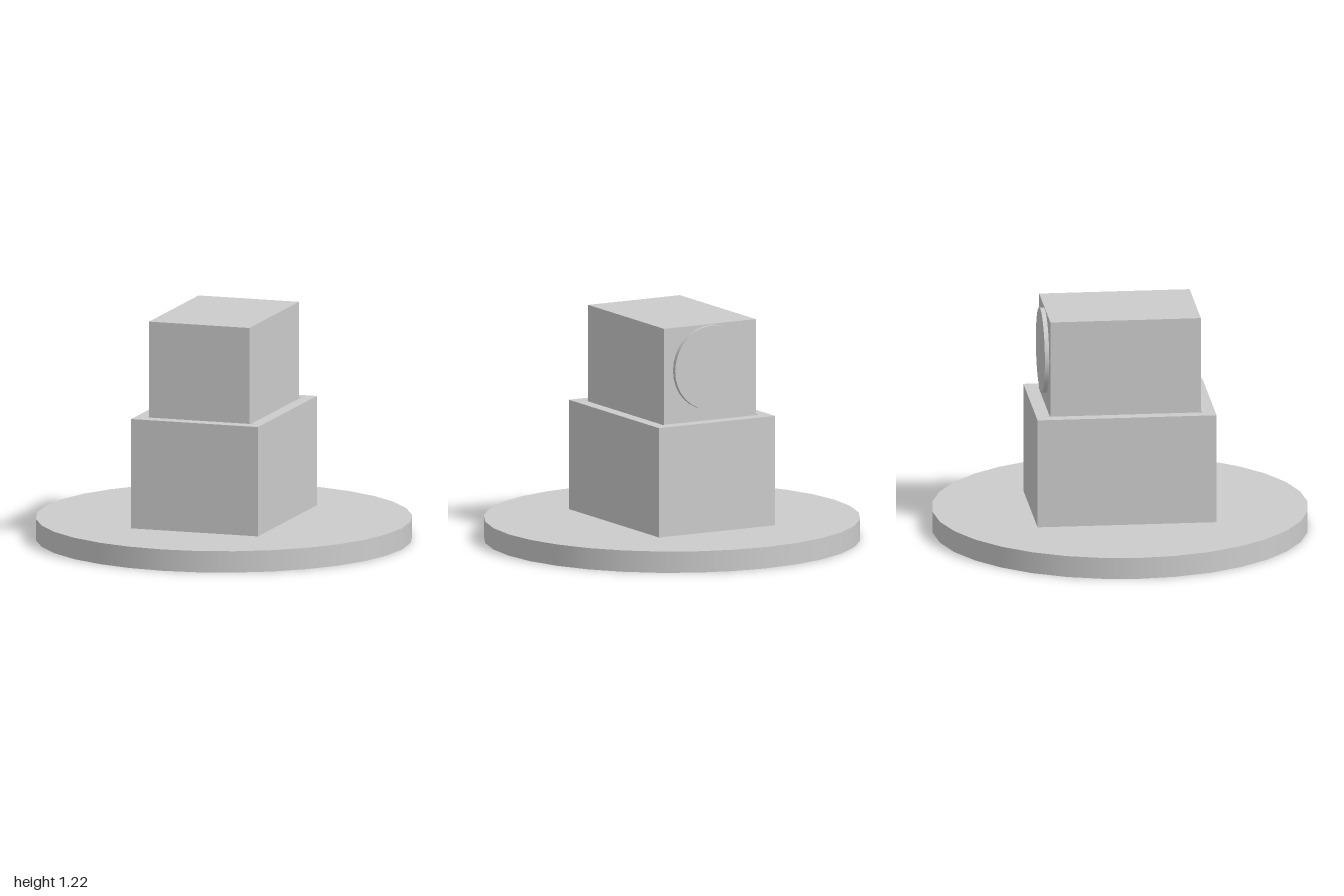
import * as THREE from 'three';

const grey = new THREE.MeshStandardMaterial({ color: 0xcccccc });
grey.name = 'grey';

function addPart(group, name, geometry, x, y, z) {
  const mesh = new THREE.Mesh(geometry, grey);
  mesh.name = name;
  mesh.position.set(x, y, z);
  group.add(mesh);
  return mesh;
}

// Rectangle outline centred on the origin, for shapes and holes
function rectangle(target, w, d) {
  target.moveTo(-w / 2, -d / 2);
  target.lineTo(w / 2, -d / 2);
  target.lineTo(w / 2, d / 2);
  target.lineTo(-w / 2, d / 2);
  target.closePath();
  return target;
}

export function createModel() {
  const group = new THREE.Group();
  group.name = 'telescopingPedestal';

  const baseTop = 0.115, sleeveTop = 0.705, blockTop = 1.222;

  // Round base plate
  addPart(group, 'basePlate', new THREE.CylinderGeometry(1, 1, baseTop, 32), 0, baseTop / 2, 0);

  // Lower sleeve, open in the middle with a narrow gap around the block
  const outline = rectangle(new THREE.Shape(), 0.712, 0.955);
  outline.holes.push(rectangle(new THREE.Path(), 0.583, 0.81));
  const sleeve = new THREE.ExtrudeGeometry(outline, { depth: sleeveTop - baseTop, bevelEnabled: false });
  sleeve.rotateX(-Math.PI / 2);
  addPart(group, 'lowerSleeve', sleeve, 0, baseTop, 0);

  // Upper block, standing inside the sleeve
  const blockHeight = blockTop - baseTop;
  addPart(group, 'upperBlock', new THREE.BoxGeometry(0.563, blockHeight, 0.803), 0, baseTop + blockHeight / 2, 0);

  // Round disc on the back of the block
  const disc = new THREE.CylinderGeometry(0.227, 0.227, 0.024, 32);
  disc.rotateX(Math.PI / 2);
  addPart(group, 'backDisc', disc, 0, 0.991, -0.413);

  return group;
}
